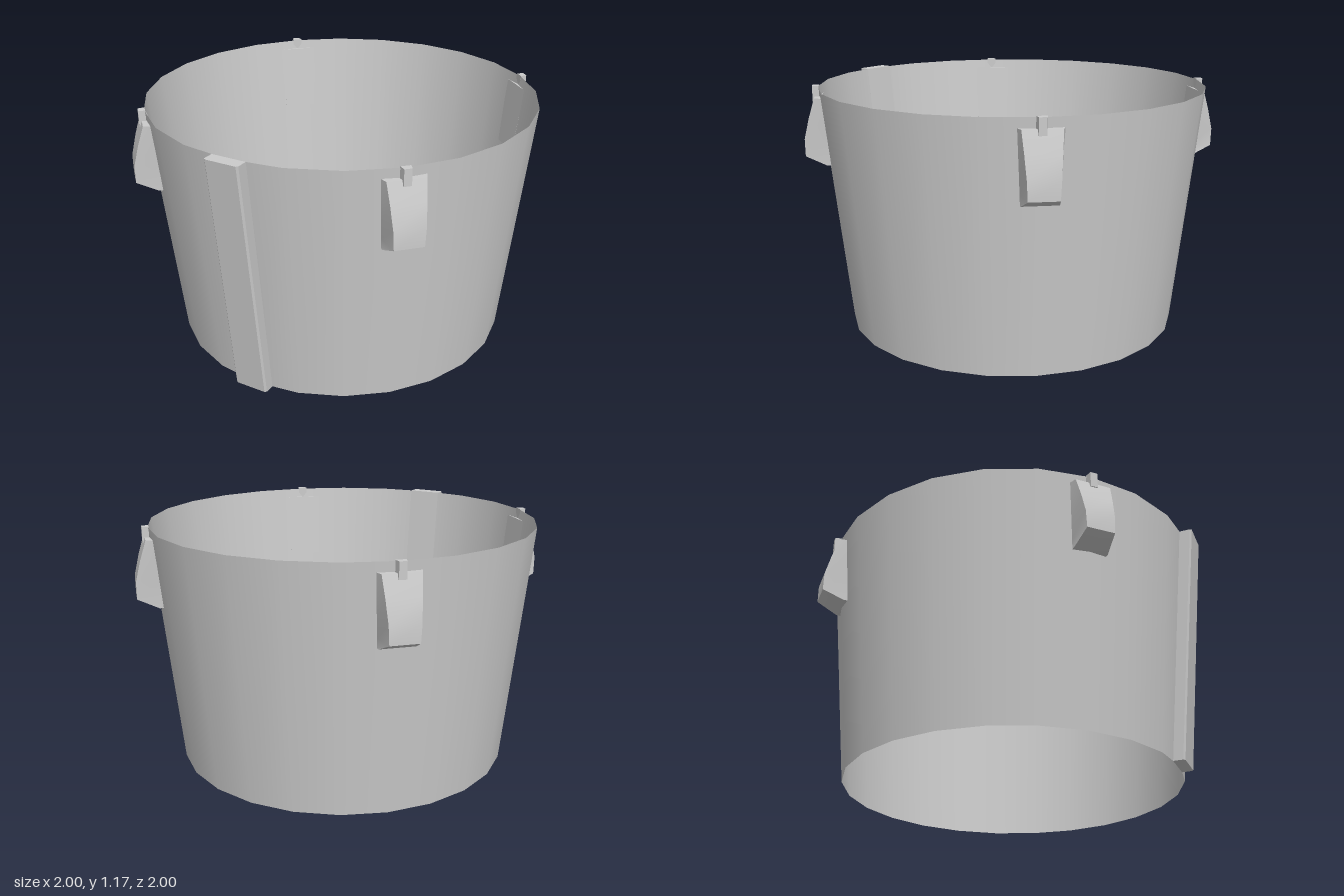
import * as THREE from 'three';
import { toCreasedNormals } from 'three/addons/utils/BufferGeometryUtils.js';

const HEIGHT = 1.17, R_BOTTOM = 0.81, R_TOP = 0.93;
const wallRadius = (y) => R_BOTTOM + (R_TOP - R_BOTTOM) * y / HEIGHT;
const grey = new THREE.MeshStandardMaterial({ color: 0xcccccc });

// Closed solid through equal-sized rings listed bottom to top; each ring is { y, pts: [[x, z], ...] }
function loft(rings) {
  const n = rings[0].pts.length, pos = [], index = [];
  rings.forEach(({ y, pts }) => pts.forEach(([x, z]) => pos.push(x, y, z)));
  for (let i = 0; i < rings.length - 1; i++) {
    for (let j = 0; j < n; j++) {
      const a = i * n + j, b = i * n + (j + 1) % n;
      index.push(a, b, b + n, a, b + n, a + n);
    }
  }
  const top = (rings.length - 1) * n;
  for (let j = 1; j < n - 1; j++) {
    index.push(0, j + 1, j, top, top + j, top + j + 1);
  }
  const geo = new THREE.BufferGeometry();
  geo.setAttribute('position', new THREE.Float32BufferAttribute(pos, 3));
  geo.setIndex(index);
  return toCreasedNormals(geo, 0.5);
}

// Four-cornered ring: back edge (half width, radius) and front edge
const ring = (y, backW, backR, frontW, frontR) => ({
  y, pts: [[-backW, backR], [-frontW, frontR], [frontW, frontR], [backW, backR]],
});

function named(name, geometry, material = grey) {
  const mesh = new THREE.Mesh(geometry, material);
  mesh.name = name;
  return mesh;
}

export function createModel() {
  const model = new THREE.Group();
  model.name = 'taperedRing';

  // Thin open wall
  const wallMaterial = new THREE.MeshStandardMaterial({ color: 0xcccccc, side: THREE.DoubleSide });
  model.add(named('wall',
    new THREE.CylinderGeometry(R_TOP, R_BOTTOM, HEIGHT, 24, 1, true).translate(0, HEIGHT / 2, 0), wallMaterial));

  // Four wedge brackets, each with a small peg on top
  const profile = [ // y, back half width, front half width, front radius
    [0.80, 0.081, 0.081, 0.90],
    [0.845, 0.083, 0.066, 1.0],
    [0.93, 0.087, 0.07, 1.0],
    [1.03, 0.092, 0.077, 0.975],
    [1.125, 0.097, 0.085, 0.945],
  ];
  const bracketGeo = loft(profile.map(([y, bw, fw, r]) => ring(y, bw, wallRadius(y) - 0.012, fw, r)));
  const pegGeo = loft([1.1, 1.175].map((y) => ring(y, 0.023, 0.925, 0.017, 0.957)));
  for (let i = 0; i < 4; i++) {
    const bracket = new THREE.Group();
    bracket.name = 'bracket' + (i + 1);
    bracket.add(named('bracketBody', bracketGeo), named('bracketPeg', pegGeo));
    bracket.rotation.y = i * Math.PI / 2;
    model.add(bracket);
  }

  // Full-height seam strip leaning with the wall, outer corners slightly bevelled
  const stripRing = (y, depth) => {
    const r = wallRadius(y), w = 0.083, b = 0.008;
    return { y, pts: [
      [-w, r - 0.011], [-w, r + depth - b], [-w + b, r + depth],
      [w - b, r + depth], [w, r + depth - b], [w, r - 0.011],
    ] };
  };
  const strip = named('seamStrip', loft([stripRing(0, 0.042), stripRing(HEIGHT, 0.048)]));
  strip.rotation.y = -Math.PI / 4;
  model.add(strip);

  return model;
}
